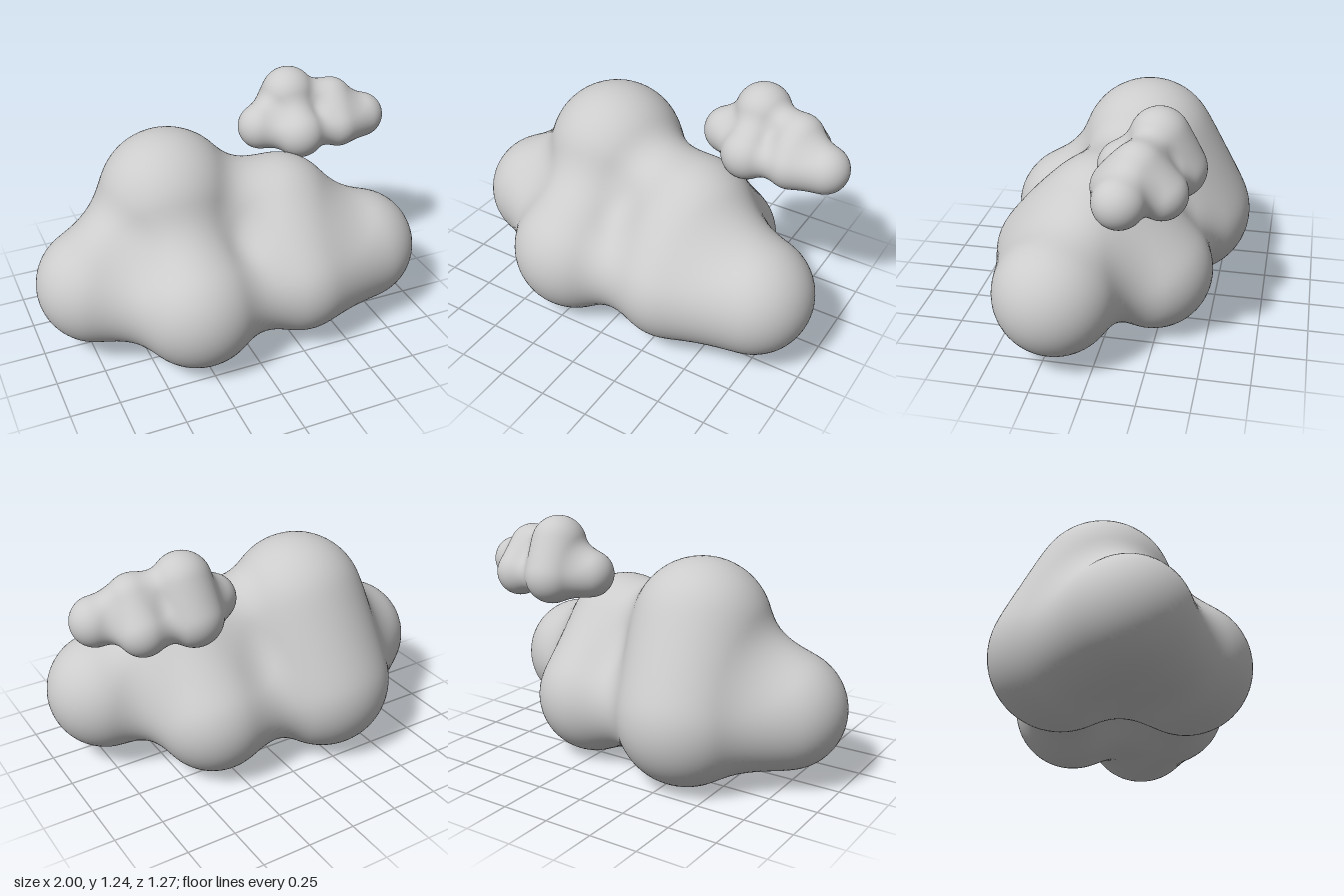
import * as THREE from 'three';

// Puffs of the cloud: x, y, z, radius
const PUFFS = [
  [-0.70, 0.37, 0.00, 0.30], // left end
  [0.70, 0.365, 0.19, 0.30], // right end
  [-0.27, 0.335, 0.31, 0.325], // front
  [0.30, 0.35, 0.29, 0.30],
  [-0.31, 0.35, -0.29, 0.35], // back
  [0.30, 0.31, -0.21, 0.30],
  [-0.27, 0.74, -0.09, 0.35], // crown
  [0.29, 0.605, 0.05, 0.30],
];
const REACH = 1 / 0.575; // how far a puff's influence extends beyond its radius
const LEVEL = 0.6;

// Soft blended field (positive inside); writes its gradient to g
function field(p, g) {
  let sum = -LEVEL;
  g.set(0, 0, 0);
  for (const [x, y, z, r] of PUFFS) {
    const R2 = (r * REACH) ** 2;
    const dx = p.x - x, dy = p.y - y, dz = p.z - z;
    const t = 1 - (dx * dx + dy * dy + dz * dz) / R2;
    if (t <= 0) continue;
    sum += 2 * t ** 3;
    const k = -12 * t * t / R2;
    g.x += k * dx;
    g.y += k * dy;
    g.z += k * dz;
  }
  return sum;
}

// Skin the field with a net of quads, one vertex per crossed grid cell
function cloudGeometry(step = 0.03) {
  const min = new THREE.Vector3(-1.08, -0.08, -0.72);
  const n = [73, 43, 49];
  const stride = [1, n[0], n[0] * n[1]];
  const p = new THREE.Vector3(), g = new THREE.Vector3();
  const values = new Float32Array(n[0] * n[1] * n[2]);
  const at = (i, j, k) => i + j * stride[1] + k * stride[2];
  const eachCell = (margin, fn) => {
    for (let k = margin; k < n[2] - margin; k++)
      for (let j = margin; j < n[1] - margin; j++)
        for (let i = margin; i < n[0] - margin; i++) fn(i, j, k, at(i, j, k));
  };
  eachCell(0, (i, j, k, id) => {
    p.set(i, j, k).multiplyScalar(step).add(min);
    values[id] = field(p, g);
  });

  // Vertices: mean of the crossed cell edges, then pulled onto the surface
  const positions = [], normals = [], indices = [];
  const vertexOf = new Int32Array(values.length).fill(-1);
  const mean = new THREE.Vector3();
  eachCell(1, (i, j, k, id) => {
    let crossings = 0;
    mean.set(0, 0, 0);
    for (let c = 0; c < 8; c++) {
      const o = [c & 1, (c >> 1) & 1, (c >> 2) & 1];
      const a = id + o[0] + o[1] * stride[1] + o[2] * stride[2];
      for (let axis = 0; axis < 3; axis++) {
        if (o[axis]) continue;
        const va = values[a], vb = values[a + stride[axis]];
        if ((va > 0) === (vb > 0)) continue;
        p.set(...o).setComponent(axis, va / (va - vb));
        mean.add(p);
        crossings++;
      }
    }
    if (!crossings) return;
    p.copy(mean).divideScalar(crossings);
    p.x += i; p.y += j; p.z += k;
    p.multiplyScalar(step).add(min);
    for (let s = 0; s < 3; s++) {
      const v = field(p, g);
      const shift = v / Math.max(g.lengthSq(), 0.5);
      p.addScaledVector(g, -THREE.MathUtils.clamp(shift, -0.01, 0.01));
    }
    field(p, g);
    g.normalize().negate();
    vertexOf[id] = positions.length / 3;
    positions.push(p.x, p.y, p.z);
    normals.push(g.x, g.y, g.z);
  });

  // Quads: the four cells around every crossed grid edge
  eachCell(2, (i, j, k, id) => {
    for (let axis = 0; axis < 3; axis++) {
      const inside = values[id] > 0;
      if (inside === values[id + stride[axis]] > 0) continue;
      const b = stride[(axis + 1) % 3], c = stride[(axis + 2) % 3];
      const q = [id, id - b, id - b - c, id - c].map((v) => vertexOf[v]);
      if (!inside) q.reverse();
      indices.push(q[0], q[1], q[2], q[0], q[2], q[3]);
    }
  });

  const geometry = new THREE.BufferGeometry();
  geometry.setAttribute('position', new THREE.Float32BufferAttribute(positions, 3));
  geometry.setAttribute('normal', new THREE.Float32BufferAttribute(normals, 3));
  geometry.setIndex(indices);
  return geometry;
}

export function createModel() {
  const group = new THREE.Group();
  group.name = 'clouds';
  const material = new THREE.MeshStandardMaterial({ color: 0xcccccc, roughness: 0.8 });
  const geometry = cloudGeometry();

  const large = new THREE.Mesh(geometry, material);
  large.name = 'largeCloud';

  // Smaller copy floating above the back right
  const small = new THREE.Mesh(geometry, material);
  small.name = 'smallCloud';
  small.scale.setScalar(0.398);
  small.position.set(0.588, 0.81, -0.225);

  group.add(large, small);
  return group;
}
